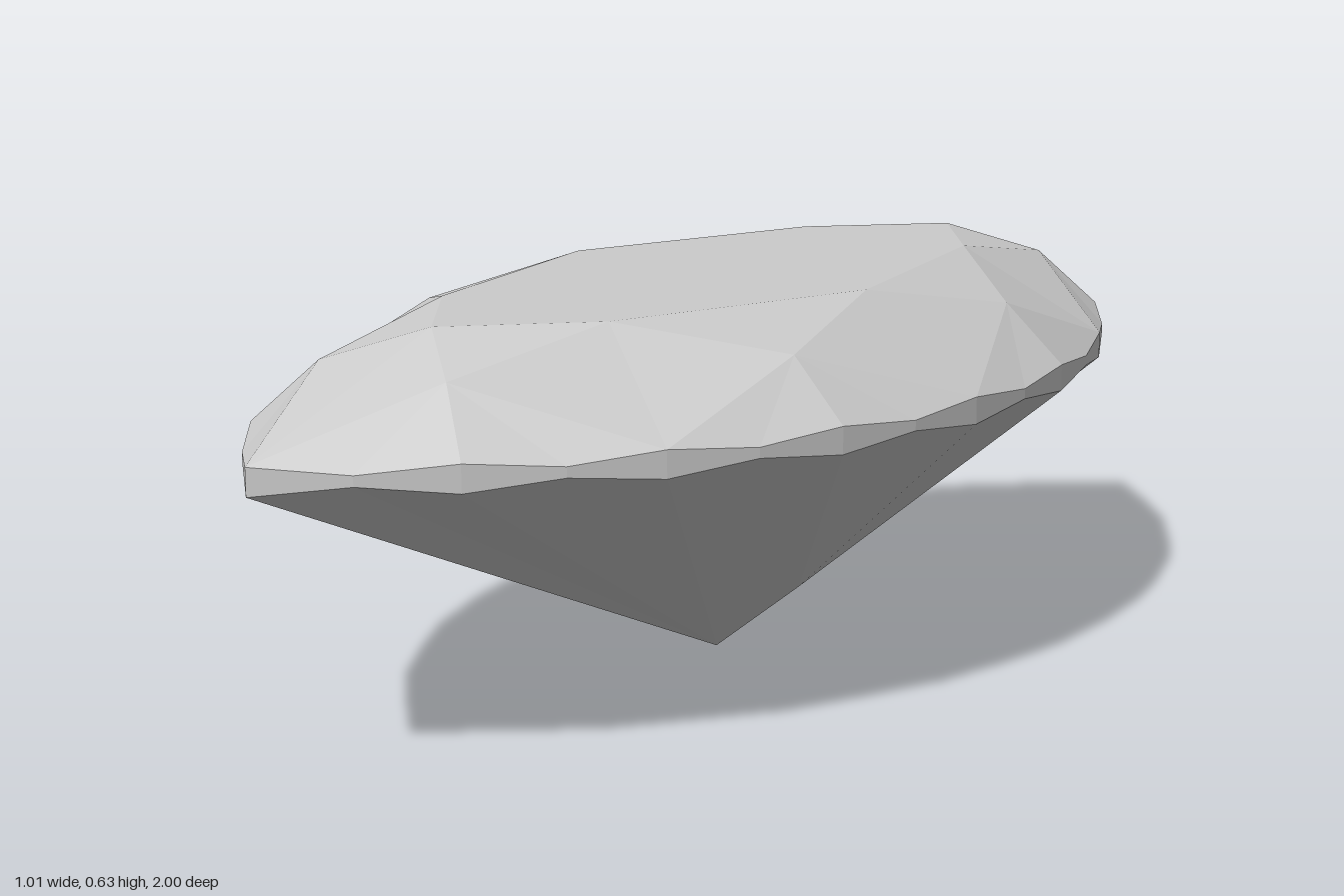
import * as THREE from 'three';

// Boat-shaped outline: each quarter is an arc of eight equal steps,
// from the widest point (k = 0) to the pointed tip (k = 8).
const HALF_WIDTH = 0.505;
const RADIUS = (1 + HALF_WIDTH ** 2) / (2 * HALF_WIDTH);
const STEP = Math.asin(1 / RADIUS) / 8;

function outline(k, y) {
  const a = k * STEP;
  const x = k === 8 ? 0 : RADIUS * Math.cos(a) - RADIUS + HALF_WIDTH;
  return [x, y, RADIUS * Math.sin(a)];
}

// Scalloped girdle edges: thick at even steps, thin at odd ones
const upper = (k) => outline(k, k % 2 ? 0.475 : 0.487);
const lower = (k) => outline(k, k % 2 ? 0.459 : 0.445);

// Repeats one quarter's facets in all four quadrants, each facing outward
function facetMesh(name, facets, material) {
  const positions = [];
  const centre = new THREE.Vector3(0, 0.42, 0);
  for (const sx of [1, -1]) {
    for (const sz of [1, -1]) {
      for (const facet of facets) {
        const pts = facet.map(([x, y, z]) => new THREE.Vector3(x * sx, y, z * sz));
        for (let i = 1; i < pts.length - 1; i++) {
          const tri = new THREE.Triangle(pts[0], pts[i], pts[i + 1]);
          const normal = tri.getNormal(new THREE.Vector3());
          const outward = tri.getMidpoint(new THREE.Vector3()).sub(centre);
          const order = normal.dot(outward) > 0 ? [tri.a, tri.b, tri.c] : [tri.a, tri.c, tri.b];
          order.forEach((p) => positions.push(p.x, p.y, p.z));
        }
      }
    }
  }
  const geometry = new THREE.BufferGeometry();
  geometry.setAttribute('position', new THREE.Float32BufferAttribute(positions, 3));
  geometry.computeVertexNormals();
  const mesh = new THREE.Mesh(geometry, material);
  mesh.name = name;
  return mesh;
}

export function createModel() {
  const group = new THREE.Group();
  group.name = 'marquiseGem';
  const material = new THREE.MeshStandardMaterial({ color: 0xcccccc, flatShading: true });

  // Table corners at steps 0, 4 and 8, and crown corners at steps 2 and 6
  const top = 0.627;
  const t0 = [0.297, top, 0], t4 = [0.168, top, 0.45], t8 = [0, top, 0.642];
  const c2 = [0.372, 0.577, 0.276], c6 = [0.128, 0.579, 0.743];

  // Flat table
  group.add(facetMesh('table', [[[0, top, 0], t0, t4, t8]], material));

  // Crown: star, main and upper half facets
  const crown = [
    [t0, t4, c2], [t4, t8, c6],
    [t0, c2, upper(0)], [t4, c2, upper(4)], [t4, c6, upper(4)], [t8, c6, upper(8)],
  ];
  for (const k of [0, 2, 4, 6]) {
    crown.push([k < 4 ? c2 : c6, upper(k), upper(k + 1), upper(k + 2)]);
  }
  group.add(facetMesh('crown', crown, material));

  // Thin scalloped girdle
  const girdle = [];
  for (let k = 0; k < 8; k++) {
    girdle.push([upper(k), upper(k + 1), lower(k + 1), lower(k)]);
  }
  group.add(facetMesh('girdle', girdle, material));

  // Pavilion: side facets meet at a keel corner, the others at the culet
  const culet = [0, 0, 0], keel = [0.17, 0.131, 0];
  const pavilion = [[culet, keel, lower(4)]];
  for (const k of [0, 2, 4, 6]) {
    pavilion.push([k < 4 ? keel : culet, lower(k), lower(k + 1), lower(k + 2)]);
  }
  group.add(facetMesh('pavilion', pavilion, material));

  return group;
}
